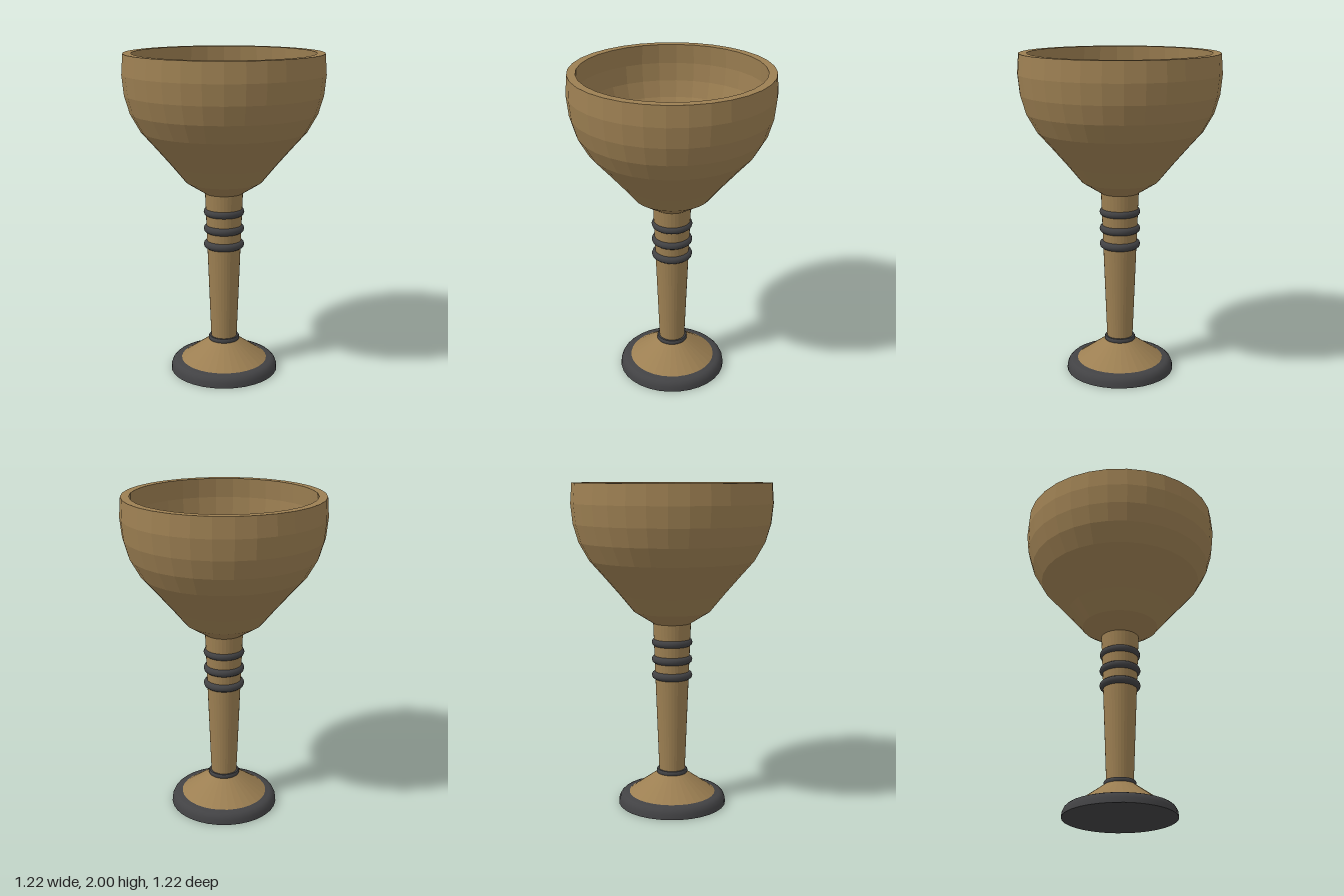
import * as THREE from 'three';
import { toCreasedNormals } from 'three/addons/utils/BufferGeometryUtils.js';

const SIDES = 32;

export function createModel() {
  const group = new THREE.Group();
  const bronze = new THREE.MeshStandardMaterial({ color: 0x9c7f52 });
  bronze.name = 'bronze';
  const iron = new THREE.MeshStandardMaterial({ color: 0x424244 });
  iron.name = 'darkIron';

  const add = (name, geometry, material, y = 0) => {
    const mesh = new THREE.Mesh(geometry, material);
    mesh.name = name;
    mesh.position.y = y;
    group.add(mesh);
  };

  // Turned part with faceted (crease 0) or softened sides; profile is [radius, height]
  const turn = (profile, crease = 0) => toCreasedNormals(
    new THREE.LatheGeometry(profile.map(([r, y]) => new THREE.Vector2(r, y)), SIDES), crease);

  // Bowl: outer wall up, over the flat rim, down the inner wall to the floor
  add('bowl', turn([
    [0, 1.15], [0.115, 1.15], [0.235, 1.225], [0.325, 1.335], [0.415, 1.44], [0.503, 1.54],
    [0.565, 1.65], [0.597, 1.76], [0.609, 1.88], [0.6, 2],
    [0.55, 2], [0.558, 1.88], [0.547, 1.77], [0.518, 1.67], [0.458, 1.565],
    [0.375, 1.465], [0.287, 1.365], [0.2, 1.26], [0.1, 1.2], [0, 1.2],
  ]), bronze);

  // Tapered stem
  add('stem', turn([[0.08, 0.19], [0.117, 1.16]]), bronze);

  // Three rounded rings below the bowl
  for (const y of [0.825, 0.925, 1.032]) {
    const ring = new THREE.TorusGeometry(0.101, 0.025, 10, SIDES).rotateX(Math.PI / 2);
    add('stemRing', ring, iron, y);
  }

  // Collar where the stem meets the foot
  add('collar', turn([
    [0.07, 0.19], [0.092, 0.19], [0.097, 0.198], [0.097, 0.212], [0.092, 0.22], [0.07, 0.22],
  ], 0.8), iron);

  // Sloping foot on a dark rounded base
  add('foot', turn([[0.272, 0.068], [0.095, 0.195], [0, 0.195]]), bronze);
  add('base', turn([
    [0, 0], [0.338, 0], [0.335, 0.03], [0.326, 0.05], [0.313, 0.063], [0.297, 0.069], [0, 0.069],
  ], 0.6), iron);

  return group;
}
